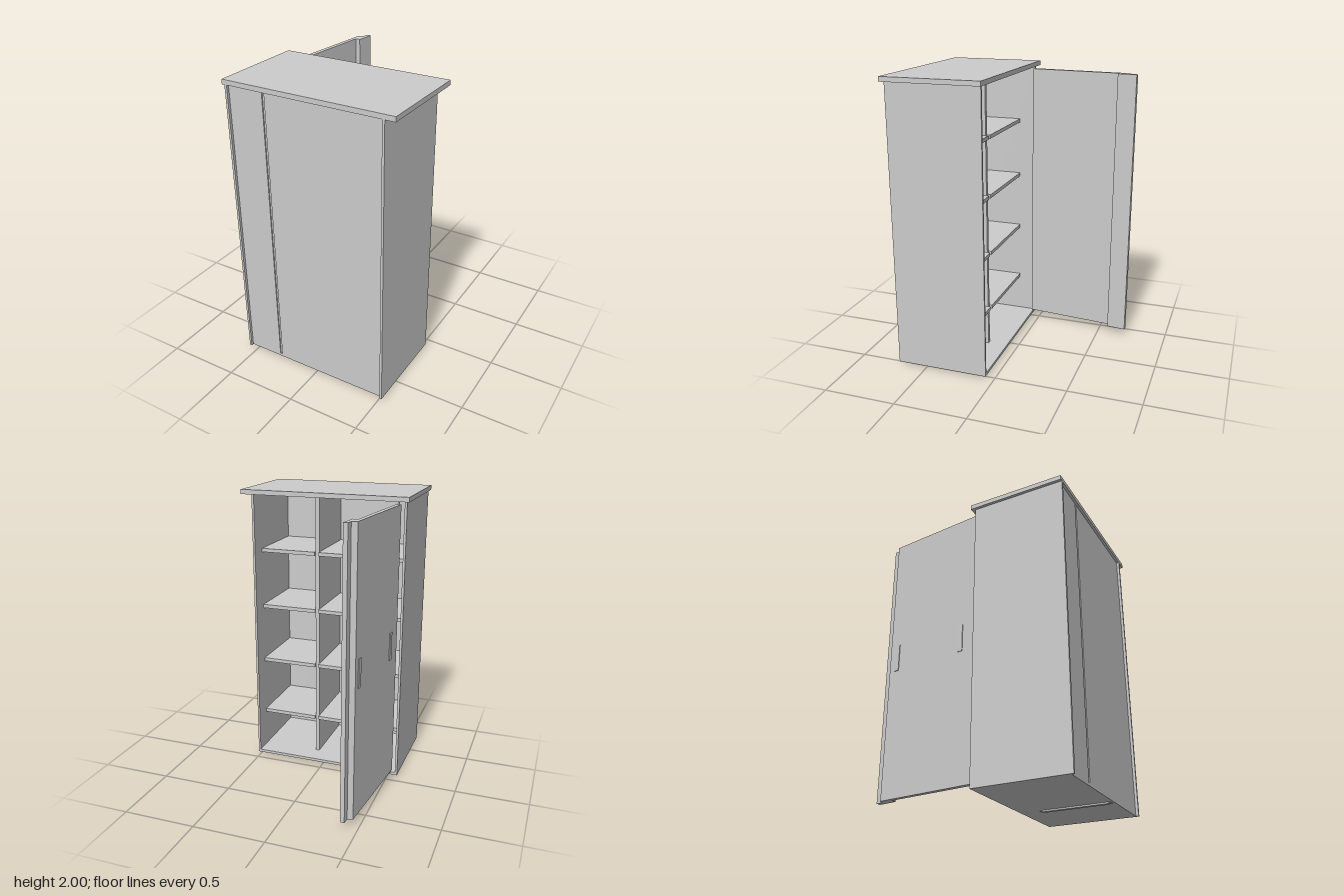
import * as THREE from 'three';

const material = new THREE.MeshStandardMaterial({ color: 0xcccccc, flatShading: true });

export function createModel() {
  const group = new THREE.Group();
  group.name = 'cabinet';

  // box given by its minimum and maximum on each axis
  const panel = (name, x0, x1, y0, y1, z0, z1, parent = group) => {
    const mesh = new THREE.Mesh(new THREE.BoxGeometry(x1 - x0, y1 - y0, z1 - z0), material);
    mesh.name = name;
    mesh.position.set((x0 + x1) / 2, (y0 + y1) / 2, (z0 + z1) / 2);
    parent.add(mesh);
    return mesh;
  };

  // carcass
  panel('topSlab', -0.587, 0.587, 1.968, 2, 0.036, 0.708);
  panel('rightSide', -0.568, -0.552, 0.01, 1.968, 0.062, 0.708);
  panel('leftSide', 0.504, 0.52, 0.01, 1.968, 0.062, 0.708);
  panel('bottomPanel', -0.552, 0.504, 0.01, 0.03, 0.062, 0.69);

  // closed face made of two sheets with a narrow joint strip set behind them
  panel('narrowSheet', -0.552, -0.308, 0.03, 1.968, 0.675, 0.69);
  panel('wideSheet', -0.292, 0.504, 0.03, 1.968, 0.675, 0.69);
  panel('jointStrip', -0.308, -0.292, 0.03, 1.968, 0.675, 0.682);

  // inner divider, its foot showing just below the bottom panel
  panel('divider', 0.076, 0.104, 0.005, 1.968, 0.2, 0.675);
  panel('dividerFoot', 0.076, 0.104, 0, 0.01, 0.215, 0.66);

  // shelves on both sides of the divider
  for (let i = 0; i < 4; i++) {
    const y = 0.31 + i * 0.416;
    panel('rightShelf', -0.552, 0.076, y - 0.013, y + 0.013, 0.18, 0.675);
    panel('leftShelf', 0.104, 0.504, y - 0.013, y + 0.013, 0.18, 0.675);
  }

  // open door with a stepped closing edge; outline in x and z, drawn upward
  const outline = [
    [-0.53, 0.062], [-0.46, -0.65], [-0.425, -0.663], [-0.42, -0.708],
    [-0.39, -0.704], [-0.404, -0.572], [-0.438, -0.576], [-0.498, 0.062],
  ];
  const shape = new THREE.Shape(outline.map(([x, z]) => new THREE.Vector2(x, -z)));
  const doorGeometry = new THREE.ExtrudeGeometry(shape, { depth: 1.9, bevelEnabled: false });
  doorGeometry.rotateX(-Math.PI / 2);
  const door = new THREE.Mesh(doorGeometry, material);
  door.name = 'door';
  door.position.y = 0.05;
  group.add(door);

  // slim handle plates on the outer door face
  for (const z of [-0.59, -0.06]) {
    const x = -0.53 + (0.062 - z) * (0.07 / 0.712);
    const handle = new THREE.Mesh(new THREE.BoxGeometry(0.01, 0.19, 0.036), material);
    handle.name = 'doorHandle';
    handle.position.set(x, 1.03, z);
    handle.rotation.y = -Math.atan2(0.07, 0.712);
    group.add(handle);
  }

  // hinge pins above and below the door
  for (const y of [0.04, 1.96]) {
    const pin = new THREE.Mesh(new THREE.CylinderGeometry(0.007, 0.007, 0.03, 10), material);
    pin.name = 'hingePin';
    pin.position.set(-0.514, y, 0.068 - 0.012);
    group.add(pin);
  }

  return group;
}
